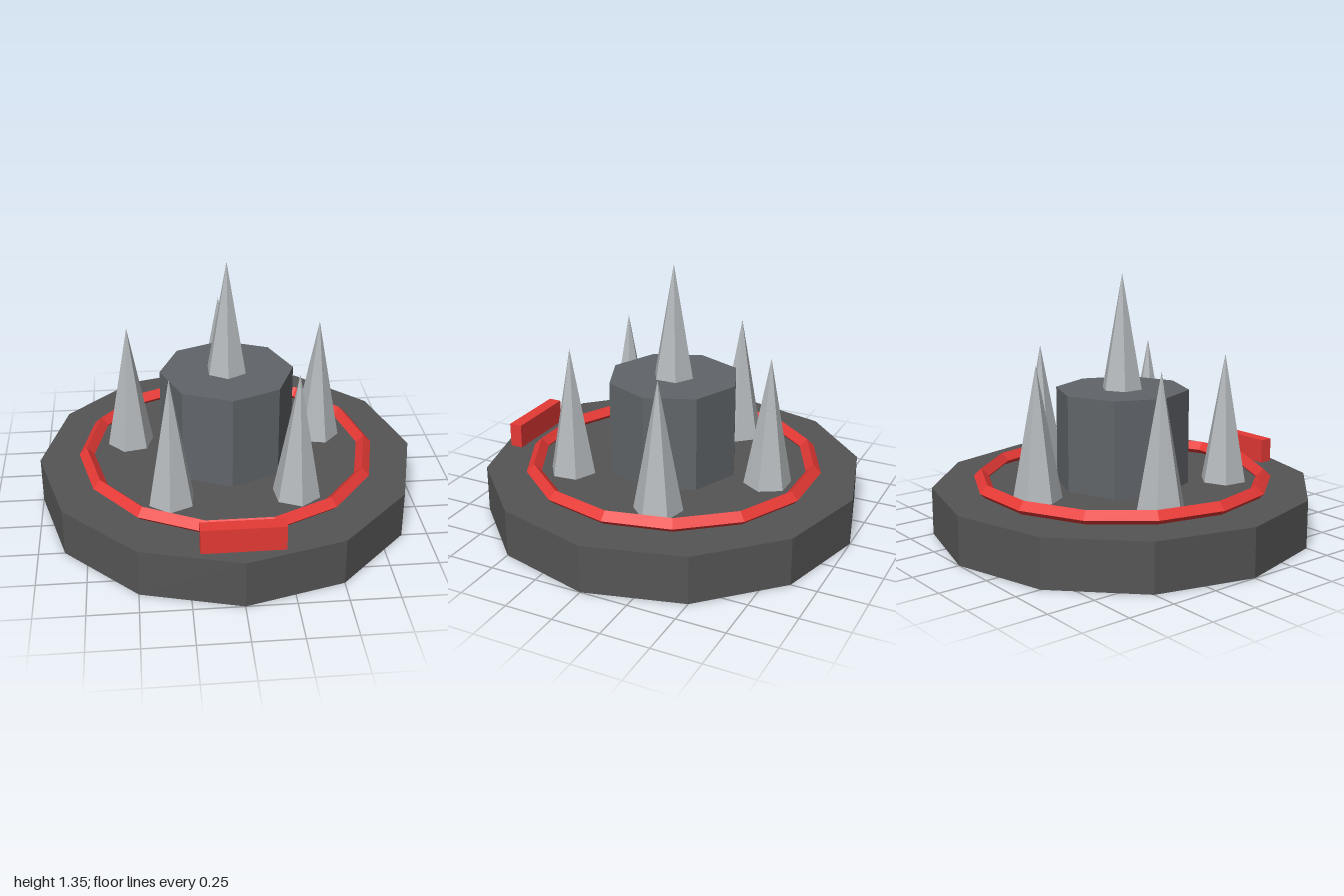
import * as THREE from 'three';

const paint = (color) => new THREE.MeshStandardMaterial({ color, flatShading: true });

export function createModel() {
  const model = new THREE.Group();
  const stone = paint(0x555556);
  const iron = paint(0x616569);
  const steel = paint(0xb4b8bb);
  const red = paint(0xe53935);

  const add = (name, geometry, material, x, y, z, parent = model) => {
    const mesh = new THREE.Mesh(geometry, material);
    mesh.name = name;
    mesh.position.set(x, y, z);
    parent.add(mesh);
    return mesh;
  };

  // Twelve-sided base plate and eight-sided hub
  add('base', new THREE.CylinderGeometry(1, 1, 0.25, 12), stone, 0, 0.125, 0);
  add('hub', new THREE.CylinderGeometry(0.35, 0.35, 0.5, 8), iron, 0, 0.5, 0);

  // Diamond-section ring, half sunk into the base
  const ring = new THREE.TorusGeometry(0.75, 0.04, 4, 14).rotateX(Math.PI / 2);
  add('warningRing', ring, red, 0, 0.275, 0);

  // Front marker plate
  add('frontMarker', new THREE.BoxGeometry(0.41, 0.13, 0.07), red, 0, 0.315, 0.875);

  // Tall spike on top of the hub
  add('centreSpike', new THREE.ConeGeometry(0.11, 0.6, 6), steel, 0, 1.05, 0);

  // Five spikes around the hub, each turned with its place on the circle
  const spike = new THREE.ConeGeometry(0.125, 0.68, 6, 1, false, Math.PI / 2);
  for (let i = 0; i < 5; i++) {
    const pivot = new THREE.Group();
    pivot.name = `outerSpikePivot${i + 1}`;
    pivot.rotation.y = (i * Math.PI * 2) / 5;
    add(`outerSpike${i + 1}`, spike, steel, 0, 0.59, -0.54, pivot);
    model.add(pivot);
  }

  return model;
}
